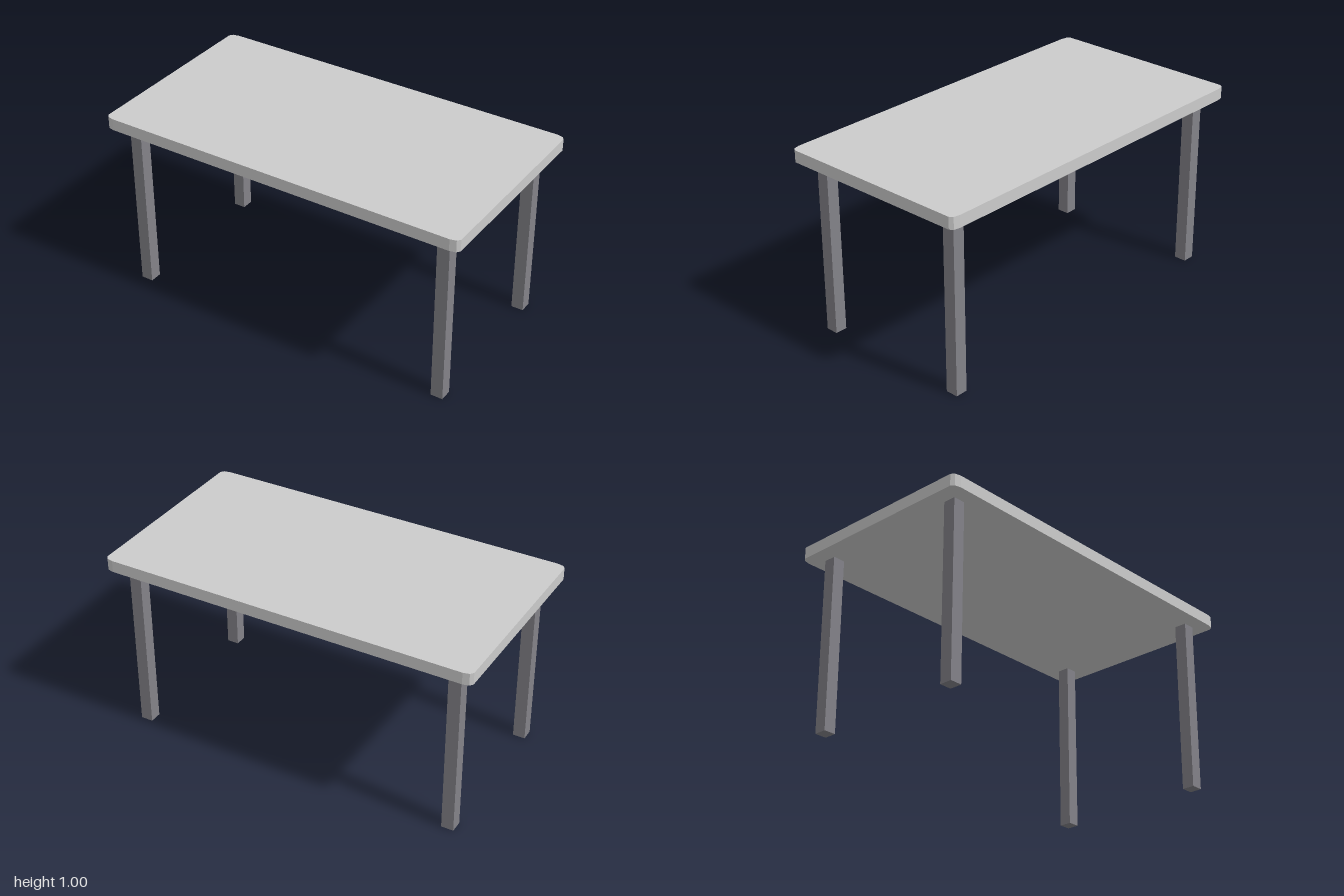
import * as THREE from 'three';

const HEIGHT = 0.995, TOP_THICKNESS = 0.063;
const HALF_X = 1, HALF_Z = 0.532;

// Rectangle outline with two-segment elliptical corners
function topOutline(rx, rz, segments) {
  const points = [];
  const corners = [[1, 1], [-1, 1], [-1, -1], [1, -1]];
  corners.forEach(([sx, sz], i) => {
    for (let k = 0; k <= segments; k++) {
      const a = (i + k / segments) * Math.PI / 2;
      points.push(new THREE.Vector2(
        sx * (HALF_X - rx) + Math.cos(a) * rx,
        sz * (HALF_Z - rz) + Math.sin(a) * rz));
    }
  });
  return new THREE.Shape(points);
}

export function createModel() {
  const table = new THREE.Group();
  table.name = 'table';
  const topMaterial = new THREE.MeshStandardMaterial({ color: 0xcccccc, flatShading: true });
  const legMaterial = new THREE.MeshStandardMaterial({ color: 0x838288, flatShading: true });

  // Slab with clipped corners, laid flat
  const slab = new THREE.ExtrudeGeometry(topOutline(0.046, 0.025, 2), {
    depth: TOP_THICKNESS, bevelEnabled: false,
  });
  slab.rotateX(-Math.PI / 2);
  const tableTop = new THREE.Mesh(slab, topMaterial);
  tableTop.name = 'tableTop';
  tableTop.position.y = HEIGHT - TOP_THICKNESS;
  table.add(tableTop);

  // Four square legs
  const legHeight = HEIGHT - TOP_THICKNESS;
  const legGeometry = new THREE.BoxGeometry(0.065, legHeight, 0.066);
  for (const [sz, depthName] of [[1, 'front'], [-1, 'back']]) {
    for (const [sx, sideName] of [[1, 'Left'], [-1, 'Right']]) {
      const leg = new THREE.Mesh(legGeometry, legMaterial);
      leg.name = `${depthName}${sideName}Leg`;
      leg.position.set(sx * 0.883, legHeight / 2, sz * 0.418);
      table.add(leg);
    }
  }
  return table;
}
